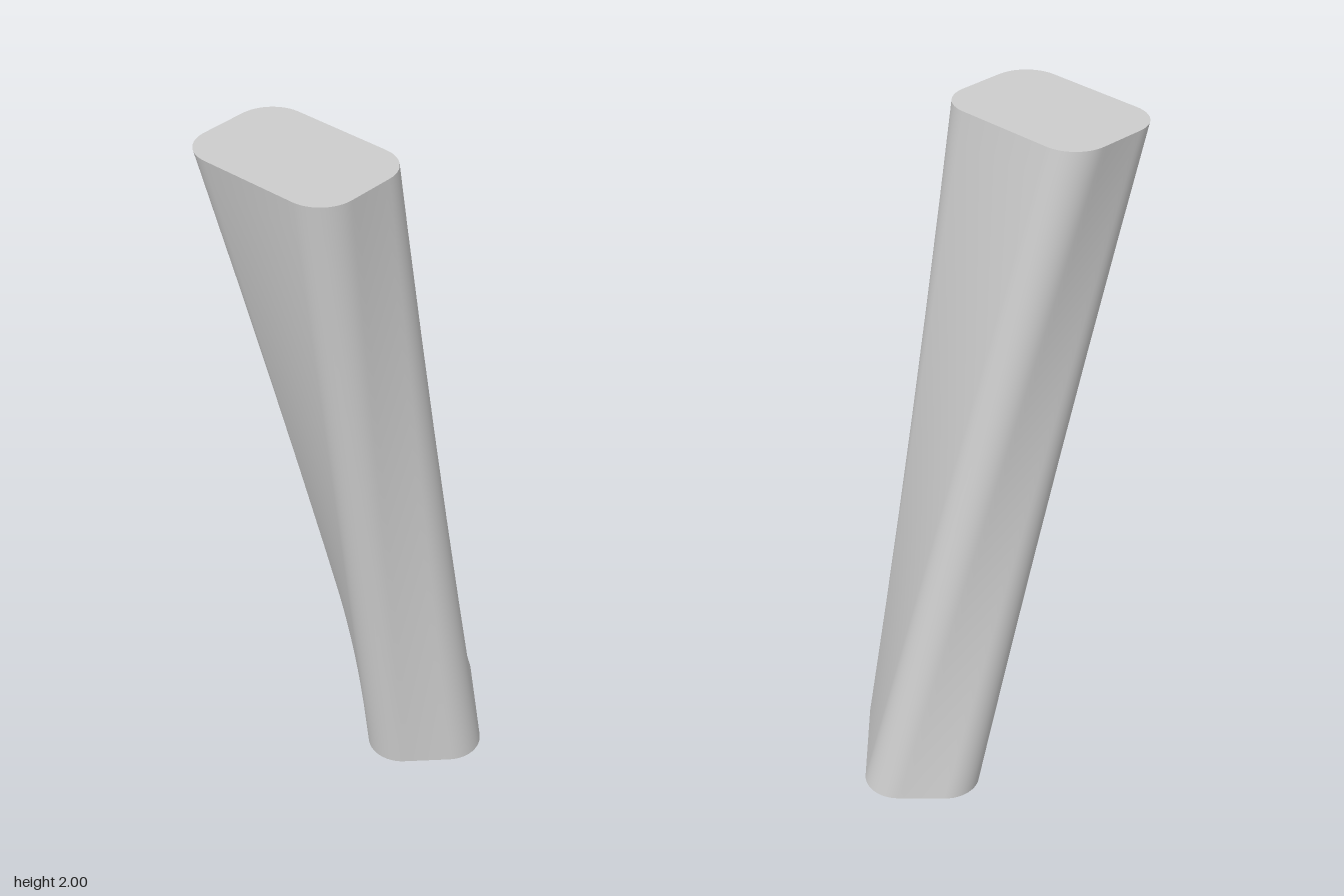
import * as THREE from 'three';

const HALF_W = 0.1475, HALF_D = 0.0675, RADIUS = 0.1; // straight half-sides and corner radius
const HEIGHT = 2, RINGS = 24, ARC = 12, EDGE = 8;

// Rounded rectangle in x/z, with its straight sides subdivided
function outline() {
  const corners = [[1, 1], [-1, 1], [-1, -1], [1, -1]];
  const pts = [];
  corners.forEach(([sx, sz], k) => {
    for (let i = 0; i <= ARC; i++) {
      const a = (k + i / ARC) * Math.PI / 2;
      pts.push(new THREE.Vector2(sx * HALF_W + RADIUS * Math.cos(a), sz * HALF_D + RADIUS * Math.sin(a)));
    }
    const [nx, nz] = corners[(k + 1) % 4];
    const a = (k + 1) * Math.PI / 2;
    const end = new THREE.Vector2(nx * HALF_W + RADIUS * Math.cos(a), nz * HALF_D + RADIUS * Math.sin(a));
    const start = pts[pts.length - 1];
    for (let i = 1; i < EDGE; i++) pts.push(start.clone().lerp(end, i / EDGE));
  });
  return pts;
}

function geometry(positions, index) {
  const g = new THREE.BufferGeometry();
  g.setAttribute('position', new THREE.Float32BufferAttribute(positions, 3));
  g.setIndex(index);
  g.computeVertexNormals();
  return g;
}

// Straight-ruled wall between the two end sections
function wall(bottom, top) {
  const n = bottom.length, pos = [], idx = [];
  for (let j = 0; j <= RINGS; j++) {
    const t = j / RINGS;
    for (let i = 0; i < n; i++) {
      const p = bottom[i].clone().lerp(top[i], t);
      pos.push(p.x, t * HEIGHT, p.y);
    }
  }
  for (let j = 0; j < RINGS; j++) {
    for (let i = 0; i < n; i++) {
      const a = j * n + i, b = j * n + (i + 1) % n;
      idx.push(a, a + n, b, b, a + n, b + n);
    }
  }
  return geometry(pos, idx);
}

// Flat end face as a fan around its centre
function cap(section, center, y, up) {
  const n = section.length, pos = [center.x, y, center.y], idx = [];
  section.forEach((p, i) => {
    pos.push(p.x, y, p.y);
    const a = i + 1, b = (i + 1) % n + 1;
    idx.push(0, up ? b : a, up ? a : b);
  });
  return geometry(pos, idx);
}

export function createModel() {
  const group = new THREE.Group();
  group.name = 'twistedColumn';
  const material = new THREE.MeshStandardMaterial({ color: 0xcccccc });
  const topCenter = new THREE.Vector2(-0.073, 0.212);
  const bottomCenter = new THREE.Vector2(0.07, -0.13);
  const origin = new THREE.Vector2();

  // The lower section is the upper one turned by 45 degrees and shifted
  const profile = outline();
  const top = profile.map(p => p.clone().add(topCenter));
  const bottom = profile.map(p => p.clone().rotateAround(origin, Math.PI / 4).add(bottomCenter));

  const add = (name, g) => {
    const mesh = new THREE.Mesh(g, material);
    mesh.name = name;
    group.add(mesh);
  };
  add('twistedWall', wall(bottom, top));
  add('topFace', cap(top, topCenter, HEIGHT, true));
  add('bottomFace', cap(bottom, bottomCenter, 0, false));
  return group;
}
